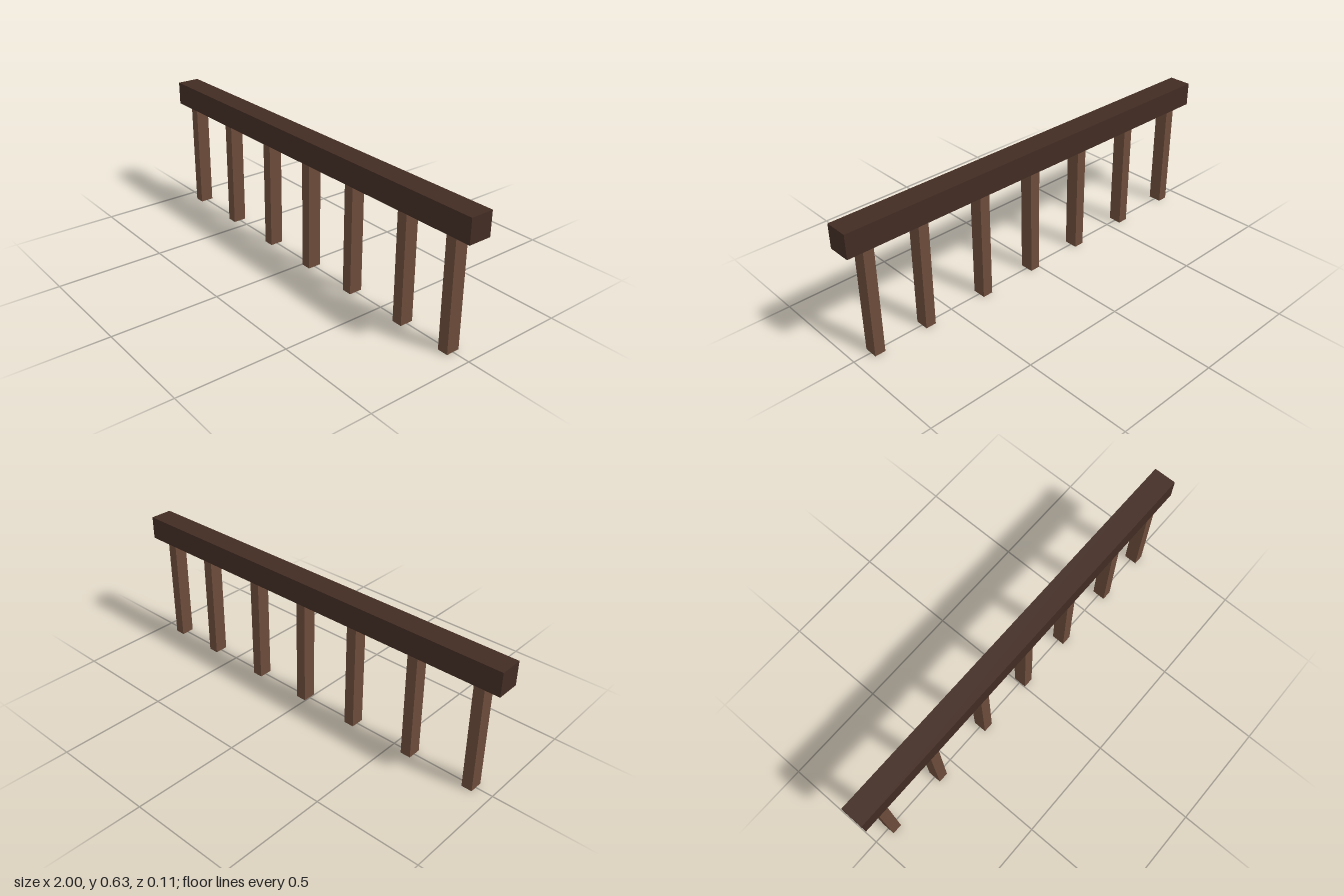
import * as THREE from 'three';

export function createModel() {
  const model = new THREE.Group();
  model.name = 'railing';

  const darkWood = new THREE.MeshStandardMaterial({ color: 0x422c23 });
  darkWood.name = 'dark wood';
  const lightWood = new THREE.MeshStandardMaterial({ color: 0x6c4c3b, side: THREE.DoubleSide });
  lightWood.name = 'light wood';

  // Top rail
  const beamBottom = 0.52, beamHeight = 0.11;
  const rail = new THREE.Mesh(new THREE.BoxGeometry(2, beamHeight, 0.108), darkWood);
  rail.name = 'topRail';
  rail.position.y = beamBottom + beamHeight / 2;
  model.add(rail);

  // Square hollow post, open at both ends
  const postGeometry = new THREE.CylinderGeometry(Math.SQRT1_2, Math.SQRT1_2, 1, 4, 1, true)
    .rotateY(Math.PI / 4)
    .scale(0.049, beamBottom, 0.064)
    .toNonIndexed();
  postGeometry.computeVertexNormals();

  // Unevenly spaced posts under the rail
  [-0.896, -0.583, -0.265, 0.027, 0.316, 0.634, 0.893].forEach((x, i) => {
    const post = new THREE.Mesh(postGeometry, lightWood);
    post.name = `post${i + 1}`;
    post.position.set(x, beamBottom / 2, 0.001);
    model.add(post);
  });

  return model;
}
